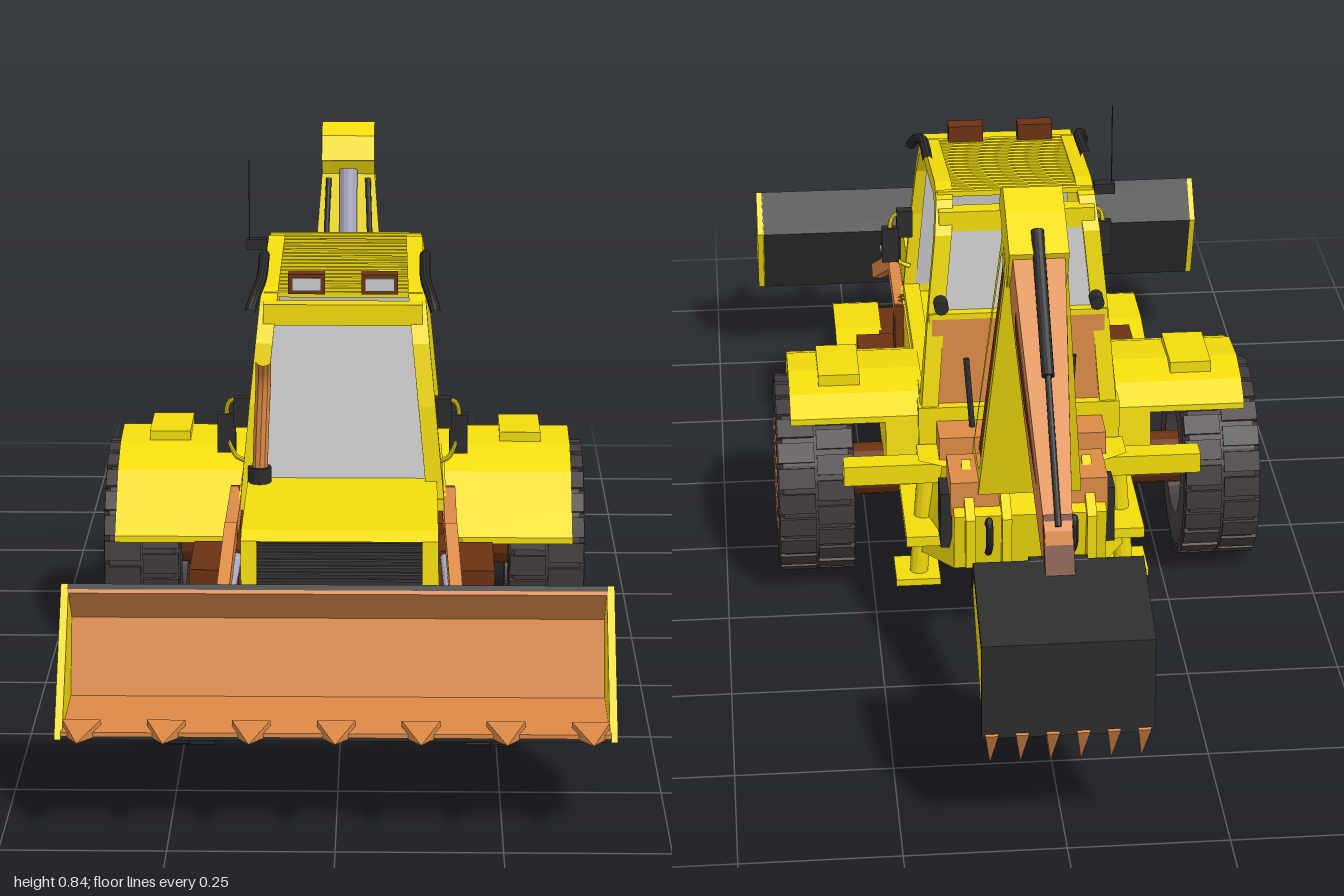
import * as THREE from 'three';

const mat = (c, side = THREE.FrontSide) =>
  new THREE.MeshStandardMaterial({ color: c, side, flatShading: true });
const YEL = mat(0xf2dc0c), ORA = mat(0xdd8a47), BRO = mat(0x6b3212), BLK = mat(0x2b2b2b),
  TYRE = mat(0x423b3e), STEEL = mat(0xa8a8c0), PANE = mat(0xbababa),
  GLASS = mat(0xc4c4c4, THREE.DoubleSide), RIM = mat(0xdd8a47, THREE.DoubleSide);

export function createModel() {
  const g = new THREE.Group();
  const V = p => new THREE.Vector3(...p);
  const add = (name, geo, m) => {
    const mesh = new THREE.Mesh(geo, m);
    mesh.name = name;
    g.add(mesh);
    return mesh;
  };
  // box given by its min/max on each axis
  const box = (name, m, x0, x1, y0, y1, z0, z1) => {
    const b = add(name, new THREE.BoxGeometry(x1 - x0, y1 - y0, z1 - z0), m);
    b.position.set((x0 + x1) / 2, (y0 + y1) / 2, (z0 + z1) / 2);
  };
  // side profile [z, y] extruded from x0 to x1, optionally with a hole and an x rule
  const prof = (name, m, pts, x0, x1, hole, rule) => {
    const s = new THREE.Shape(pts.map(p => new THREE.Vector2(...p)));
    if (hole) s.holes.push(new THREE.Path(hole.map(p => new THREE.Vector2(...p))));
    const geo = new THREE.ExtrudeGeometry(s, { depth: x1 - x0, bevelEnabled: false });
    geo.rotateY(-Math.PI / 2).translate(x1, 0, 0);
    const a = geo.attributes.position;
    if (rule) for (let i = 0; i < a.count; i++) a.setX(i, rule(a.getX(i), a.getY(i), a.getZ(i)));
    geo.computeVertexNormals();
    add(name, geo, m);
  };
  // place a z-long geometry between two points
  const span = (name, m, p, q, geo) => {
    const b = add(name, geo, m);
    b.position.copy(V(p)).lerp(V(q), 0.5);
    b.lookAt(V(q));
  };
  const bar = (name, m, p, q, w, h) =>
    span(name, m, p, q, new THREE.BoxGeometry(w, h, V(p).distanceTo(V(q))));
  const rod = (name, m, p, q, r, n = 12) =>
    span(name, m, p, q, new THREE.CylinderGeometry(r, r, V(p).distanceTo(V(q)), n).rotateX(Math.PI / 2));
  const tube = (name, m, pts, r) =>
    add(name, new THREE.TubeGeometry(new THREE.CatmullRomCurve3(pts.map(V)), 24, r, 10), m);
  const quad = (name, m, pts) => {
    const geo = new THREE.BufferGeometry();
    geo.setAttribute('position', new THREE.Float32BufferAttribute(pts.flat(), 3));
    geo.setIndex([0, 1, 2, 0, 2, 3]);
    geo.computeVertexNormals();
    add(name, geo, m);
  };
  const tooth = (name, p, dir, r, len, flatX) => {
    const t = add(name, new THREE.ConeGeometry(r, len, 4).rotateY(Math.PI / 4).scale(flatX, 1, 0.7), ORA);
    t.position.set(...p);
    t.quaternion.setFromUnitVectors(new THREE.Vector3(0, 1, 0), V(dir).normalize());
  };

  // wheels: tyre, two staggered rows of tread blocks, dished rim, bolts
  const wheel = (name, s, x, y, z, w, R) => {
    const grp = new THREE.Group(), h = w / 2, r = y;
    const L = pts => new THREE.LatheGeometry(pts.map(p => new THREE.Vector2(...p)), 36);
    const put = (geo, m) => { const o = new THREE.Mesh(geo, m); grp.add(o); return o; };
    put(L([[R, -h], [r * 0.9, -h], [r * 0.975, -h * 0.85], [r * 0.975, h * 0.85], [r * 0.9, h], [R, h], [R, -h]]), TYRE);
    put(L([[0, h * 0.8], [R * 0.22, h * 0.8], [R * 0.26, h * 0.5], [R * 0.5, h * 0.5], [R * 0.58, h * 0.3],
      [R * 0.8, h * 0.3], [R * 0.88, h * 0.8], [R * 1.02, h * 1.02]]), RIM);
    for (let i = 0; i < 48; i++) {
      const a = i / 48 * Math.PI * 2;
      const b = put(new THREE.BoxGeometry(r * 0.06, w * 0.47, r * 0.2), TYRE);
      b.position.set(Math.cos(a) * r * 0.965, (i % 2 ? 1 : -1) * w * 0.25, Math.sin(a) * r * 0.965);
      b.rotation.y = -a;
    }
    for (let i = 0; i < 8; i++) {
      const a = i / 8 * Math.PI * 2;
      put(new THREE.CylinderGeometry(R * 0.05, R * 0.05, h * 0.15, 6), BRO)
        .position.set(Math.cos(a) * R * 0.4, h * 0.53, Math.sin(a) * R * 0.4);
    }
    grp.name = name;
    grp.position.set(x * s, y, z);
    grp.rotation.z = -s * Math.PI / 2;
    g.add(grp);
  };

  // chassis, hood and grille
  box('chassis', BRO, -0.165, 0.165, 0.165, 0.26, -0.2, 0.46);
  box('bellyPlate', YEL, -0.2, 0.2, 0.15, 0.168, -0.3, 0.46);
  prof('noseBlock', YEL, [[0.61, 0.2], [0.61, 0.262], [0.42, 0.262], [0.42, 0.2]], -0.158, 0.158);
  box('frontPlate', YEL, -0.14, 0.14, 0.12, 0.21, 0.44, 0.575);
  for (const x of [-0.075, 0.085]) {
    box('plateSlot', BLK, x - 0.012, x + 0.012, 0.136, 0.143, 0.57, 0.578);
    box('plateSlot', BLK, x - 0.004, x + 0.004, 0.128, 0.151, 0.57, 0.579);
  }
  rod('frontAxle', YEL, [-0.21, 0.095, 0.53], [0.21, 0.095, 0.53], 0.021, 16);
  rod('rearAxle', BRO, [-0.3, 0.17, -0.045], [0.3, 0.17, -0.045], 0.045, 16);
  prof('hood', YEL, [[0.6, 0.25], [0.59, 0.355], [0.57, 0.367], [0.3, 0.375], [0.3, 0.25]], -0.155, 0.155);
  prof('grille', BLK, [[0.613, 0.25], [0.6, 0.355], [0.585, 0.355], [0.59, 0.25]], -0.13, 0.13);
  for (let i = 0; i < 10; i++) {
    const y = 0.255 + i * 0.0105, z = 0.612 - i * 0.0013;
    bar('grilleBar', TYRE, [-0.13, y, z], [0.13, y, z], 0.006, 0.004);
  }
  box('cabBase', YEL, -0.17, 0.17, 0.255, 0.345, -0.175, 0.32);
  tube('exhaust', ORA, [[-0.135, 0.37, 0.32], [-0.132, 0.46, 0.32], [-0.128, 0.55, 0.325], [-0.127, 0.585, 0.345]], 0.013);
  rod('exhaustBase', BLK, [-0.135, 0.36, 0.32], [-0.135, 0.4, 0.32], 0.019);

  // cab
  const lean = s => (x, y) => x - s * Math.max(0, y - 0.34) * 0.1;
  const outer = [[0.32, 0.33], [0.31, 0.5], [0.292, 0.6], [0.255, 0.655], [0.21, 0.675], [-0.05, 0.705],
    [-0.105, 0.695], [-0.14, 0.645], [-0.155, 0.5], [-0.175, 0.3]];
  const inner = [[0.3, 0.36], [0.292, 0.5], [0.273, 0.59], [0.243, 0.636], [0.2, 0.654], [-0.05, 0.683],
    [-0.092, 0.674], [-0.118, 0.63], [-0.133, 0.5], [-0.148, 0.36]];
  quad('windshield', GLASS, [[-0.14, 0.36, 0.3], [0.145, 0.36, 0.3], [0.122, 0.63, 0.262], [-0.118, 0.63, 0.262]]);
  quad('rearWindow', GLASS, [[0.13, 0.5, -0.142], [-0.13, 0.5, -0.142], [-0.12, 0.65, -0.128], [0.12, 0.65, -0.128]]);
  quad('sideWindow', PANE, [[-0.15, 0.43, -0.13], [-0.15, 0.43, 0.28], [-0.127, 0.63, 0.24], [-0.127, 0.67, -0.09]]);
  box('rearWall', ORA, -0.145, 0.145, 0.3, 0.5, -0.158, -0.146);
  bar('frontHeader', YEL, [-0.13, 0.643, 0.258], [0.13, 0.643, 0.258], 0.03, 0.035);
  bar('rearHeader', YEL, [-0.13, 0.665, -0.115], [0.13, 0.665, -0.115], 0.03, 0.035);
  bar('rearSill', YEL, [-0.15, 0.5, -0.148], [0.15, 0.5, -0.148], 0.02, 0.02);
  for (let i = 0; i < 18; i++) {
    const z = 0.22 - i * 0.018, y = 0.666 + i * 0.0019;
    bar('roofSlat', YEL, [-0.13, y, z], [0.13, y, z], 0.009, 0.009);
  }
  box('seatCushion', BLK, -0.11, 0.11, 0.345, 0.375, -0.09, 0.06);
  prof('seatBack', BLK, [[-0.05, 0.36], [-0.065, 0.53], [-0.09, 0.54], [-0.1, 0.36]], -0.11, 0.11);
  rod('steeringColumn', BLK, [0, 0.34, 0.22], [0, 0.4, 0.165], 0.01);
  const sw = add('steeringWheel', new THREE.TorusGeometry(0.045, 0.006, 8, 24), BLK);
  sw.position.set(0, 0.4, 0.165);
  sw.rotation.x = 0.85;
  box('dashboard', BLK, -0.1, 0.1, 0.34, 0.385, 0.23, 0.285);
  rod('antenna', BLK, [-0.165, 0.69, -0.06], [-0.165, 0.835, -0.06], 0.001, 6);
  box('antennaMount', BLK, -0.17, -0.135, 0.68, 0.698, -0.07, -0.05);

  // loader bucket
  const bucket = [[0.94, 0.152], [0.77, 0.152], [0.725, 0.28], [0.78, 0.345]];
  prof('bucketShell', BLK, [...bucket, [0.786, 0.338], [0.735, 0.279], [0.777, 0.16], [0.94, 0.158]], -0.41, 0.41);
  prof('bucketLiner', ORA, [[0.94, 0.158], [0.777, 0.16], [0.735, 0.279], [0.786, 0.338], [0.79, 0.333],
    [0.742, 0.279], [0.782, 0.166], [0.94, 0.164]], -0.41, 0.41);
  for (let i = -3; i <= 3; i++) tooth('bucketTooth', [i * 0.127, 0.165, 0.955], [0, 0.08, 1], 0.024, 0.092, 1.7);

  for (const s of [-1, 1]) {
    const X = (a, b) => s > 0 ? [a, b] : [-b, -a];
    const sbox = (name, m, a, b, ...r) => box(name, m, ...X(a, b), ...r);
    const sprof = (name, m, pts, a, b, hole, rule) => prof(name, m, pts, ...X(a, b), hole, rule);
    wheel('frontWheel', s, 0.24, 0.095, 0.53, 0.08, 0.051);
    wheel('rearWheel', s, 0.345, 0.17, -0.045, 0.13, 0.098);
    // fenders
    sprof('frontFender', YEL, [[0.595, 0.192], [0.57, 0.202], [0.46, 0.202], [0.36, 0.18], [0.36, 0.17],
      [0.46, 0.194], [0.57, 0.194], [0.595, 0.184]], 0.2, 0.285);
    sbox('fenderBracket', BRO, 0.155, 0.205, 0.18, 0.2, 0.42, 0.55);
    const arch = [[0.19, 0.24], [0.15, 0.28], [0.1, 0.33], [0.03, 0.36], [-0.06, 0.368], [-0.12, 0.352], [-0.16, 0.325]];
    const under = arch.map(([z, y]) => [z, y - 0.011]).reverse();
    sprof('rearFender', YEL, [...arch, ...under], 0.2, 0.385);
    sprof('fenderWall', YEL, [...arch, [-0.17, 0.2], [0.17, 0.2]], 0.16, 0.225);
    sbox('fenderCap', YEL, 0.265, 0.335, 0.355, 0.377, -0.1, 0.02);
    // tanks, steps, hood vents
    sbox('sideTank', BRO, 0.16, 0.25, 0.175, 0.235, 0.2, 0.36);
    sbox('step', YEL, 0.16, 0.25, 0.155, 0.178, 0.21, 0.33);
    sbox('hoodVent', BRO, 0.145, 0.165, 0.27, 0.325, 0.3, 0.39);
    for (let i = 0; i < 4; i++) sbox('ventSlat', ORA, 0.15, 0.168, 0.275 + i * 0.013, 0.28 + i * 0.013, 0.305, 0.385);
    // cab frame, roof rail, lamps, mirrors
    sprof('cabFrame', YEL, outer, 0.14, 0.168, inner, lean(s));
    tube('roofRail', BLK, [[s * 0.152, 0.645, 0.265], [s * 0.145, 0.665, 0.24], [s * 0.136, 0.682, 0.19], [s * 0.135, 0.696, 0.06]], 0.009);
    sbox('lampHousing', BRO, 0.03, 0.09, 0.668, 0.701, 0.2, 0.23);
    sbox('lampLens', GLASS, 0.036, 0.084, 0.674, 0.695, 0.228, 0.233);
    rod('rearLamp', BLK, [s * 0.13, 0.53, -0.15], [s * 0.13, 0.53, -0.18], 0.012);
    sbox('mirror', BLK, 0.175, 0.205, 0.415, 0.48, 0.275, 0.29);
    sbox('smallMirror', BLK, 0.15, 0.178, 0.46, 0.51, 0.28, 0.3);
    tube('mirrorArm', YEL, [[s * 0.155, 0.4, 0.29], [s * 0.175, 0.41, 0.29], [s * 0.19, 0.46, 0.283], [s * 0.185, 0.5, 0.283], [s * 0.155, 0.505, 0.29]], 0.004);
    // loader arms and rams
    bar('loaderArm', ORA, [s * 0.176, 0.33, 0.25], [s * 0.176, 0.33, 0.46], 0.02, 0.03);
    bar('loaderArm', ORA, [s * 0.176, 0.335, 0.455], [s * 0.192, 0.185, 0.752], 0.02, 0.028);
    rod('loaderRam', STEEL, [s * 0.166, 0.29, 0.42], [s * 0.18, 0.24, 0.735], 0.008);
    rod('loaderRamBody', BRO, [s * 0.166, 0.31, 0.3], [s * 0.166, 0.285, 0.45], 0.013);
    sprof('loaderPost', BRO, [[0.23, 0.2], [0.33, 0.2], [0.29, 0.345], [0.24, 0.345]], 0.165, 0.186);
    sprof('bucketSide', YEL, bucket, 0.408, 0.42);
    // stabilisers and rear frame details
    rod('stabiliserLeg', YEL, [s * 0.16, 0.26, -0.22], [s * 0.175, 0.06, -0.215], 0.016);
    sbox('stabiliserFoot', YEL, 0.14, 0.215, 0.048, 0.06, -0.25, -0.165);
    sbox('valveBox', ORA, 0.05, 0.13, 0.24, 0.3, -0.365, -0.26);
    sbox('rearFloor', ORA, 0.03, 0.14, 0.27, 0.32, -0.24, -0.16);
    sbox('sideLocker', BLK, 0.115, 0.145, 0.165, 0.265, -0.335, -0.275);
    rod('controlLever', BLK, [s * 0.08, 0.3, -0.2], [s * 0.09, 0.44, -0.185], 0.005);
    tube('rearHook', BLK, [[s * 0.07, 0.23, -0.38], [s * 0.07, 0.25, -0.41], [s * 0.07, 0.21, -0.415], [s * 0.07, 0.18, -0.385]], 0.006);
    // boom lift rams
    rod('boomRam', BLK, [s * 0.05, 0.36, -0.225], [s * 0.035, 0.74, -0.375], 0.005);
    // digging bucket cheek
    sprof('diggerSide', YEL, [[-0.8, 0.355], [-0.84, 0.408], [-0.998, 0.355], [-0.998, 0.2]], 0.118, 0.128);
  }

  // backhoe base, narrowing to the rear
  prof('rearFrame', YEL, [[-0.18, 0.12], [-0.22, 0.1], [-0.26, 0.11], [-0.37, 0.145], [-0.39, 0.25], [-0.26, 0.275],
    [-0.24, 0.28], [-0.18, 0.28]], -0.175, 0.175, null, (x, y, z) => z > -0.25 ? x : x * 0.72);
  box('rearCrossbar', YEL, -0.3, 0.3, 0.24, 0.275, -0.245, -0.205);
  for (const x of [-0.1, -0.04, 0.04, 0.1])
    prof('swingPlate', YEL, [[-0.3, 0.14], [-0.4, 0.16], [-0.405, 0.25], [-0.3, 0.31]], x - 0.008, x + 0.008);

  // boom: yellow edged frame with recessed panels
  const boomW = (x, y) => x * (1 - (y - 0.28) * 0.95);
  prof('boomFrame', YEL, [[-0.23, 0.28], [-0.37, 0.28], [-0.478, 0.72], [-0.39, 0.76]], -0.085, 0.085,
    [[-0.25, 0.315], [-0.352, 0.315], [-0.455, 0.71], [-0.405, 0.73]], boomW);
  prof('boomPanel', BRO, [[-0.24, 0.3], [-0.36, 0.3], [-0.463, 0.715], [-0.397, 0.74]], -0.075, 0.075, null, boomW);
  rod('boomRod', STEEL, [0, 0.45, -0.285], [0, 0.755, -0.38], 0.016);
  prof('boomHead', YEL, [[-0.335, 0.78], [-0.36, 0.82], [-0.4, 0.838], [-0.45, 0.815], [-0.52, 0.775], [-0.5, 0.73],
    [-0.475, 0.7], [-0.39, 0.735], [-0.375, 0.77]], -0.047, 0.047);

  // stick, its ram and linkage
  const stickW = (x, y, z) => x * (1 + (z + 0.45) * 1.35);
  prof('stick', ORA, [[-0.45, 0.76], [-0.5, 0.78], [-0.62, 0.665], [-0.84, 0.46], [-0.855, 0.42], [-0.815, 0.4],
    [-0.63, 0.55], [-0.5, 0.67]], -0.045, 0.045, null, stickW);
  prof('stickPanel', BRO, [[-0.55, 0.69], [-0.62, 0.625], [-0.76, 0.5], [-0.64, 0.575], [-0.55, 0.66]], -0.047, 0.047, null, stickW);
  rod('stickRam', BLK, [0, 0.8, -0.485], [0, 0.635, -0.665], 0.01);
  rod('stickRamRod', BLK, [0, 0.635, -0.665], [0, 0.465, -0.835], 0.005);
  bar('bucketLink', BRO, [0, 0.475, -0.815], [0, 0.395, -0.865], 0.045, 0.018);
  rod('bucketPin', BLK, [-0.045, 0.4, -0.835], [0.045, 0.4, -0.835], 0.014);

  // digging bucket
  prof('diggerShell', BLK, [[-0.8, 0.355], [-0.84, 0.412], [-1, 0.358], [-1, 0.2], [-0.988, 0.2], [-0.988, 0.348],
    [-0.845, 0.398], [-0.81, 0.35]], -0.13, 0.13);
  for (let i = 0; i < 6; i++) tooth('diggerTooth', [-0.115 + i * 0.046, 0.172, -0.981], [0, -0.065, 0.03], 0.014, 0.08, 1);
  return g;
}
